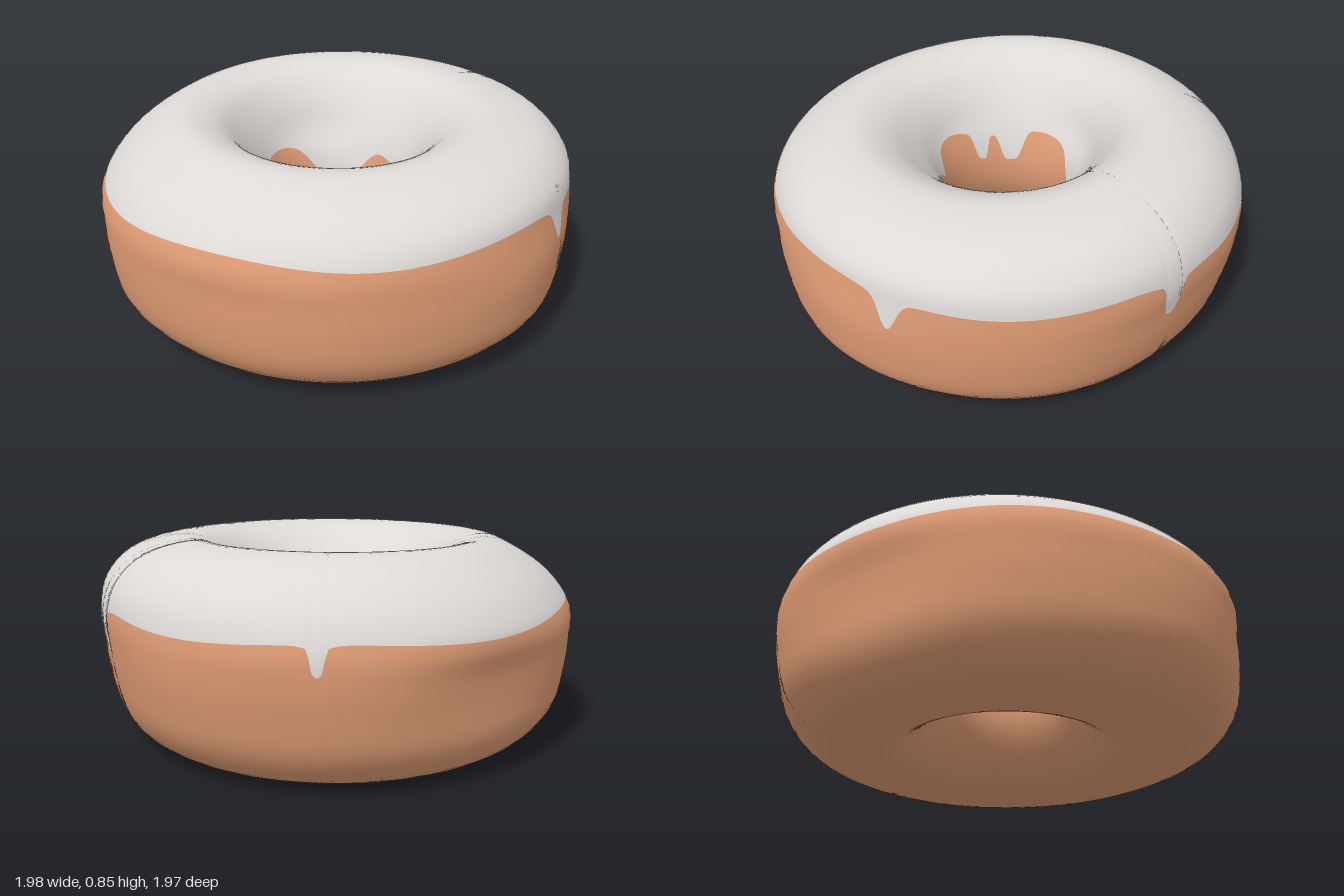
import * as THREE from 'three';

const SEGMENTS = 540, ICING_ROWS = 34, DOUGH_ROWS = 38;
const ROWS = ICING_ROWS + DOUGH_ROWS;
const rad = THREE.MathUtils.degToRad;
const wave = (angle, dir, times = 1) => Math.cos(times * (angle - rad(dir)));
// Signed difference between an angle and a direction in degrees
const offset = (angle, dir) => Math.atan2(Math.sin(angle - rad(dir)), Math.cos(angle - rad(dir)));

// Drips: direction, half width, depth (degrees, degrees, units)
const outerDrips = [[78, 2.6, 0.14, 2], [14, 2.4, 0.18, 4], [-49, 1.6, 0.11, 4]];
const innerDrips = [[208, 7, 0.12, 4], [236, 11, 0.14, 4], [45, 12, 0.14, 4], [320, 28, 0.12, 4], [150, 8, 0.07, 2]];

function dripDepth(angle, drips) {
  let sum = 0;
  for (const [dir, width, depth, power] of drips) {
    const d = Math.abs(offset(angle, dir)) / rad(width);
    // a narrow tongue with a softly flared root
    sum += depth * (0.85 * Math.exp(-(d ** power)) + 0.15 * Math.exp(-d * d / 5));
  }
  return sum;
}

const outerEdge = a => 0.595 + 0.012 * wave(a, 105) + 0.012 * wave(a, 20, 5) - dripDepth(a, outerDrips);
const innerEdge = a => 0.53 + 0.025 * wave(a, 190) + 0.015 * wave(a, 265, 4) - dripDepth(a, innerDrips);

// Closed cross-section at one angle: under, outer wall, crown, hole wall
const TOP = 9;
function crossSection(a) {
  const full = wave(a, 45), low = wave(a, 135), tilt = 0.02 * wave(a, -45);
  const ripple = 0.007 * wave(a, 205, 3) + 0.004 * wave(a, 40, 7);
  const dent = -0.02 * Math.exp(-((offset(a, 270) / 0.4) ** 2));
  const hole = -0.018 * Math.sin(a);
  const points = [
    [0.62, 0], [0.75, 0.014],
    [0.865 + 0.015 * low, 0.075],
    [0.942 + 0.022 * low + ripple, 0.18],
    [0.972 + 0.015 * low + ripple + dent, 0.32],
    [0.982 + 0.006 * low + ripple + dent, 0.44],
    [0.979 + 0.004 * wave(a, 0, 2), 0.56],
    [0.92 + 0.03 * full, 0.685 + tilt * 0.5],
    [0.79 + 0.045 * full, 0.785 + tilt],
    [0.63, 0.827 + tilt],
    [0.50, 0.79 + tilt],
    [0.405 + hole * 0.5, 0.70 + tilt * 0.6],
    [0.335 + hole + 0.008 * wave(a, 180, 3), 0.59],
    [0.283 + hole, 0.48],
    [0.258 + hole, 0.36],
    [0.272 + hole, 0.24],
    [0.335 + hole * 0.5, 0.125],
    [0.43, 0.042], [0.52, 0.008],
  ];
  const curve = new THREE.CatmullRomCurve3(
    points.map(([r, y]) => new THREE.Vector3(r, y, 0)), true, 'catmullrom', 0.5);
  return { curve, top: TOP / points.length };
}

// Curve parameter at which the wall between lo (below) and hi (above) reaches height y
function findHeight(curve, lo, hi, y) {
  for (let i = 0; i < 22; i++) {
    const mid = (lo + hi) / 2;
    if (curve.getPoint(mid).y < y) lo = mid; else hi = mid;
  }
  return (lo + hi) / 2;
}

export function createModel() {
  const group = new THREE.Group();
  group.name = 'doughnut';
  const icingMaterial = new THREE.MeshStandardMaterial({ color: 0xdedad8 });
  icingMaterial.name = 'white icing';
  const doughMaterial = new THREE.MeshStandardMaterial({ color: 0xdd9a73 });
  doughMaterial.name = 'baked dough';

  // Ring of cross-sections whose rows follow the icing's wavy edges
  const positions = [];
  for (let i = 0; i < SEGMENTS; i++) {
    const a = i / SEGMENTS * Math.PI * 2;
    const { curve, top } = crossSection(a);
    const start = findHeight(curve, 0.06, top, outerEdge(a));
    const end = findHeight(curve, 0.95, top, innerEdge(a));
    for (let j = 0; j < ROWS; j++) {
      const t = j < ICING_ROWS
        ? start + (end - start) * j / ICING_ROWS
        : end + (start + 1 - end) * (j - ICING_ROWS) / DOUGH_ROWS;
      const p = curve.getPoint(t % 1);
      positions.push(p.x * Math.cos(a), Math.max(p.y, 0), p.x * Math.sin(a));
    }
  }

  const faces = (from, to) => {
    const index = [];
    for (let i = 0; i < SEGMENTS; i++) {
      const here = i * ROWS, next = ((i + 1) % SEGMENTS) * ROWS;
      for (let j = from; j < to; j++) {
        const k = (j + 1) % ROWS;
        index.push(here + j, here + k, next + j, here + k, next + k, next + j);
      }
    }
    return index;
  };

  // Normals come from the whole ring so the two parts meet smoothly
  const whole = new THREE.BufferGeometry();
  whole.setAttribute('position', new THREE.Float32BufferAttribute(positions, 3));
  whole.setIndex(faces(0, ROWS));
  whole.computeVertexNormals();

  const addPart = (name, from, to, material) => {
    const geometry = new THREE.BufferGeometry();
    geometry.setAttribute('position', whole.getAttribute('position'));
    geometry.setAttribute('normal', whole.getAttribute('normal'));
    geometry.setIndex(faces(from, to));
    const mesh = new THREE.Mesh(geometry, material);
    mesh.name = name;
    group.add(mesh);
  };
  addPart('icing', 0, ICING_ROWS, icingMaterial);
  addPart('dough', ICING_ROWS, ROWS, doughMaterial);
  return group;
}
